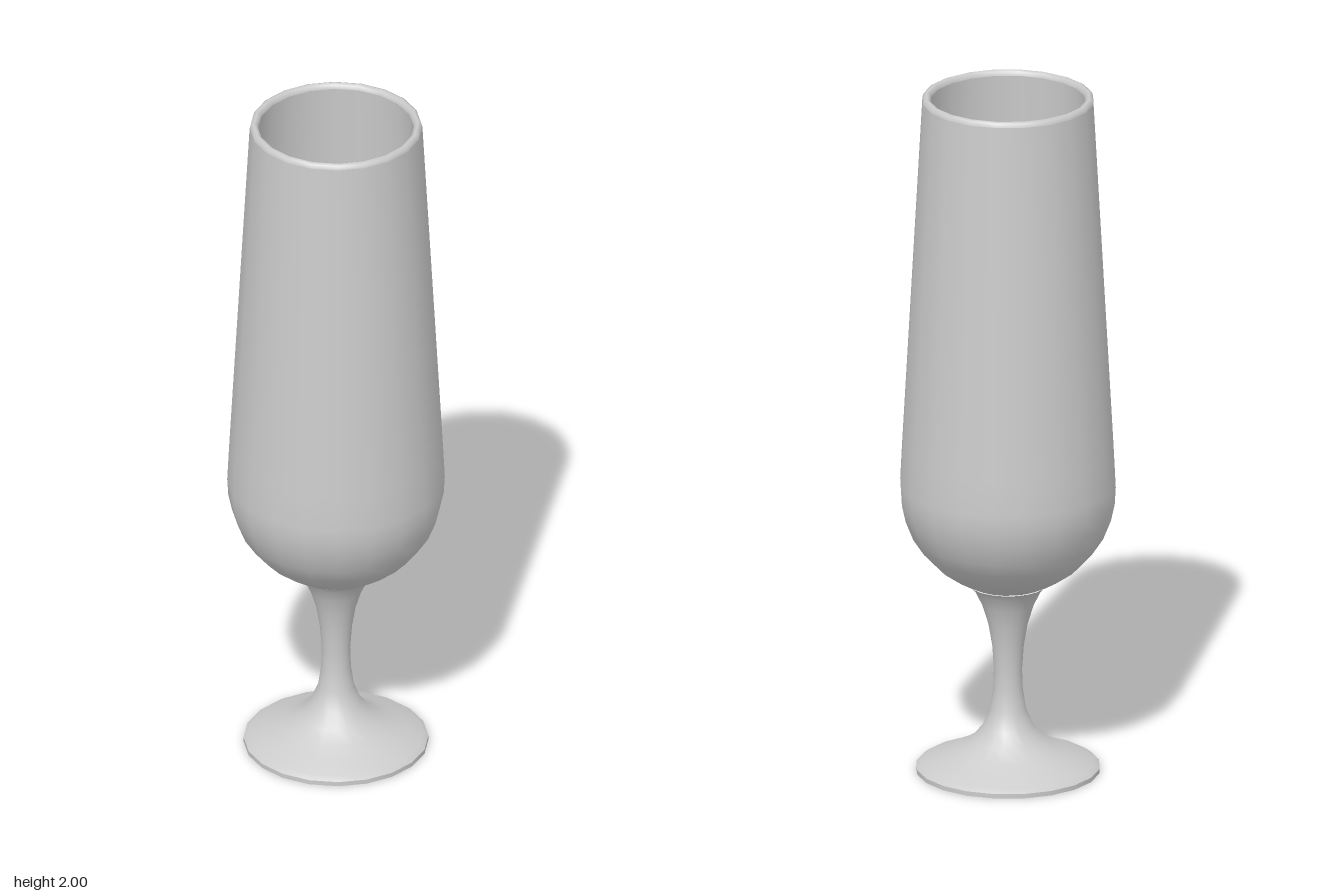
import * as THREE from 'three';

const SIDES = 20;

// Revolves a [radius, height] profile, smooth along its length.
function lathe(name, profile, material) {
  const points = profile.map(([r, y]) => new THREE.Vector2(r, y));
  const mesh = new THREE.Mesh(new THREE.LatheGeometry(points, SIDES), material);
  mesh.name = name;
  return mesh;
}

export function createModel() {
  const glass = new THREE.MeshStandardMaterial({ color: 0xcccccc });
  const group = new THREE.Group();
  group.name = 'stemmedGlass';

  // Foot: flat underside and thin edge
  group.add(lathe('footUnderside', [[0, 0], [0.26, 0]], glass));
  group.add(lathe('footEdge', [[0.26, 0], [0.26, 0.013]], glass));

  // Foot top sweeping up into the slim stem and flaring under the bowl
  group.add(lathe('stem', [
    [0.26, 0.013], [0.245, 0.024], [0.2, 0.042], [0.15, 0.065], [0.105, 0.092],
    [0.072, 0.13], [0.051, 0.18], [0.042, 0.24], [0.04, 0.3], [0.045, 0.37],
    [0.056, 0.435], [0.073, 0.49], [0.092, 0.53], [0.11, 0.55],
  ], glass));

  // Bowl outside: rounded base, then a long straight taper
  group.add(lathe('bowlOuter', [
    [0.105, 0.55], [0.15, 0.573], [0.2, 0.608], [0.24, 0.65], [0.27, 0.695],
    [0.292, 0.75], [0.303, 0.8], [0.306, 0.85], [0.301, 0.95], [0.243, 1.985],
  ], glass));

  // Rounded lip
  group.add(lathe('rim', [
    [0.243, 1.985], [0.24, 1.996], [0.231, 2], [0.222, 1.996], [0.219, 1.985],
  ], glass));

  // Bowl inside, running down from the lip to the centre
  group.add(lathe('bowlInner', [
    [0.219, 1.985], [0.277, 0.95], [0.282, 0.85], [0.279, 0.8], [0.268, 0.755],
    [0.248, 0.705], [0.22, 0.665], [0.185, 0.63], [0.14, 0.6], [0.08, 0.58], [0, 0.57],
  ], glass));

  return group;
}
